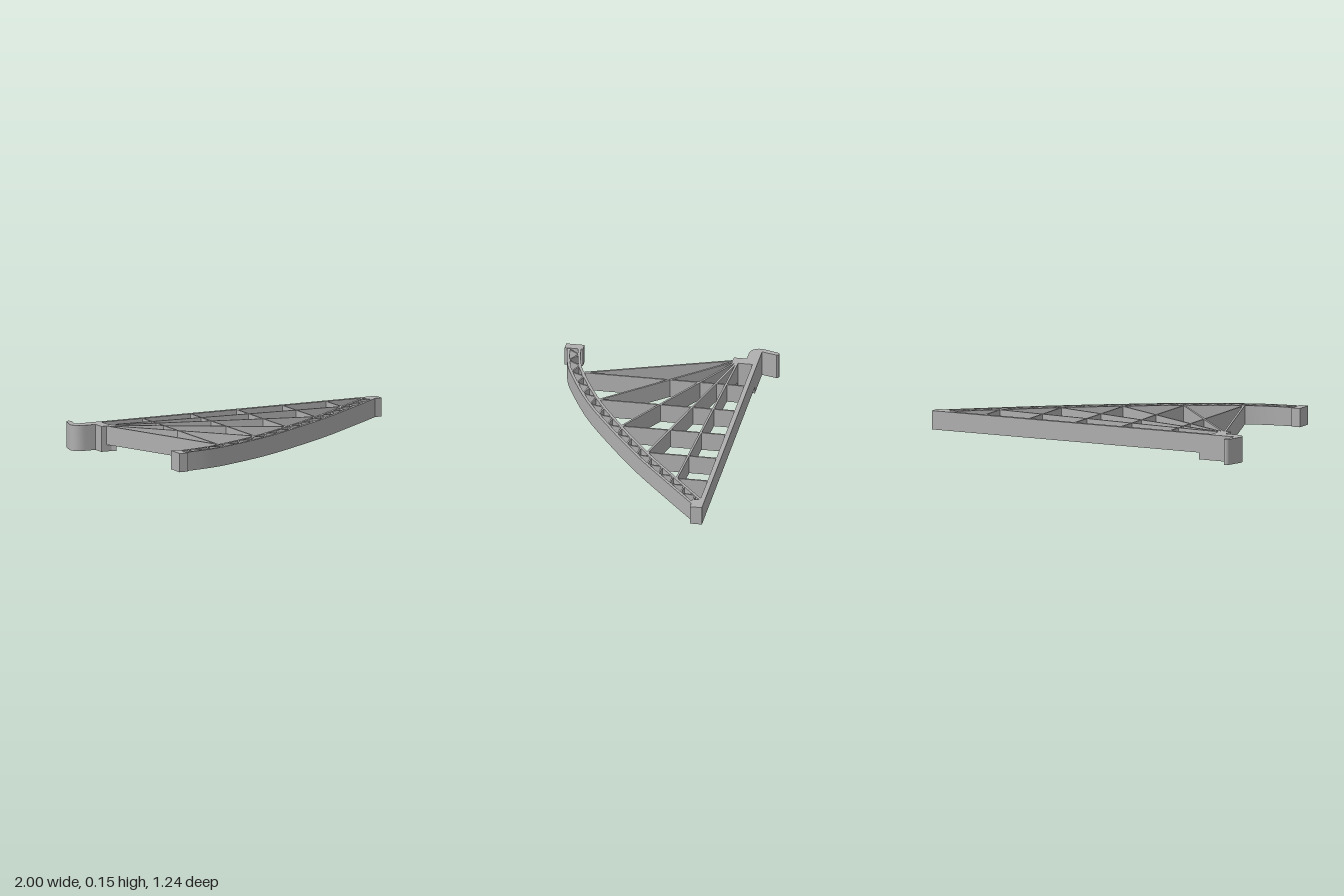
import * as THREE from 'three';
import { toCreasedNormals } from 'three/addons/utils/BufferGeometryUtils.js';

const BOTTOM = 0.04, TOP = 0.15;

export function createModel() {
  const model = new THREE.Group();
  model.name = 'trussBracket';
  const grey = new THREE.MeshStandardMaterial({ color: 0xb0b0b0 });
  grey.name = 'plain grey';

  // Extrude a plan outline (drawn as x, -z) upward between two heights
  function plate(name, shape, y0 = BOTTOM, y1 = TOP, parent = model) {
    let geo = new THREE.ExtrudeGeometry(shape, { depth: y1 - y0, bevelEnabled: false, curveSegments: 10 });
    geo.rotateX(-Math.PI / 2);
    geo.translate(0, y0, 0);
    geo = toCreasedNormals(geo, 0.5);
    const mesh = new THREE.Mesh(geo, grey);
    mesh.name = name;
    parent.add(mesh);
    return mesh;
  }
  const outline = (pts) => new THREE.Shape(pts.map(([x, z]) => new THREE.Vector2(x, -z)));

  function block(name, x0, x1, z0, z1, y0 = BOTTOM, y1 = TOP) {
    const mesh = new THREE.Mesh(new THREE.BoxGeometry(x1 - x0, y1 - y0, z1 - z0), grey);
    mesh.position.set((x0 + x1) / 2, (y0 + y1) / 2, (z0 + z1) / 2);
    mesh.name = name;
    model.add(mesh);
  }

  // Upright web between two plan points
  function web(name, [ax, az], [bx, bz], thick, y0 = BOTTOM, y1 = TOP, parent = model) {
    const dx = bx - ax, dz = bz - az;
    const mesh = new THREE.Mesh(new THREE.BoxGeometry(Math.hypot(dx, dz), y1 - y0, thick), grey);
    mesh.position.set((ax + bx) / 2, (y0 + y1) / 2, (az + bz) / 2);
    mesh.rotation.y = -Math.atan2(dz, dx);
    mesh.name = name;
    parent.add(mesh);
  }

  // Straight back beam with its end blocks
  block('backBeam', -0.9, 1, -0.517, -0.49);
  block('beamEndBlock', 0.905, 1, -0.517, -0.447);
  block('hub', -0.865, -0.8, -0.517, -0.37, 0, TOP);
  block('beamFoot', -0.8, -0.73, -0.517, -0.49, 0, BOTTOM);
  block('archEndBlock', -0.865, -0.812, 0.508, 0.615);

  // Hook with a rounded outer corner and a leaning finger
  const hook = new THREE.Shape();
  hook.moveTo(-0.865, 0.445);
  hook.lineTo(-0.865, 0.517);
  hook.lineTo(-0.963, 0.517);
  hook.lineTo(-0.938, 0.605);
  hook.quadraticCurveTo(-0.943, 0.62, -0.955, 0.62);
  hook.quadraticCurveTo(-0.966, 0.618, -0.97, 0.608);
  hook.lineTo(-0.998, 0.515);
  hook.bezierCurveTo(-1.005, 0.477, -0.975, 0.445, -0.93, 0.445);
  plate('hook', hook, 0, TOP);

  // Curved truss: inner and outer chords
  const arch = new THREE.SplineCurve([
    [-0.815, 0.52], [-0.67, 0.495], [-0.53, 0.45], [-0.217, 0.302],
    [0.083, 0.115], [0.38, -0.09], [0.665, -0.313], [0.9, -0.502],
  ].map((p) => new THREE.Vector2(...p)));
  const DEPTH = 0.079, CHORD = 0.016;
  function archPoint(u, d) {
    const p = arch.getPointAt(u), t = arch.getTangentAt(u);
    return [p.x - t.y * d, p.y + t.x * d];
  }
  function chord(name, d0, d1, extra) {
    const a = [], b = [], n = 48;
    for (let i = 0; i <= n; i++) {
      a.push(archPoint(i / n, d0));
      b.push(archPoint(i / n, d1));
    }
    const t = arch.getTangentAt(1);
    for (const side of [a, b]) {
      const [x, z] = side[n];
      side.push([x + t.x * extra, z + t.y * extra]);
    }
    plate(name, outline([...b, ...a.reverse()]));
  }
  chord('innerChord', 0, CHORD, 0.005);
  chord('outerChord', DEPTH - CHORD, DEPTH, 0.025);

  // Zigzag lacing between the chords
  const lacing = new THREE.Group();
  lacing.name = 'lacing';
  model.add(lacing);
  const bays = 15;
  for (let i = 0; i < bays; i++) {
    const start = archPoint(i / bays, DEPTH - CHORD / 2);
    const mid = archPoint((i + 0.5) / bays, CHORD / 2);
    const end = archPoint((i + 1) / bays, DEPTH - CHORD / 2);
    web('lacingBar', start, mid, 0.009, BOTTOM, TOP, lacing);
    web('lacingBar', mid, end, 0.009, BOTTOM, TOP, lacing);
  }

  // Cross ribs and fan braces meeting at the arch
  const joints = [[-0.53, 0.455], [-0.217, 0.306], [0.083, 0.12], [0.38, -0.085], [0.665, -0.308]];
  joints.forEach(([x, z], i) => {
    web('crossRib', [x, -0.495], [x, z], 0.01);
    const from = [-0.832 + i * 0.006, -0.385 - i * 0.004];
    web('fanBrace', from, [x, z], 0.012);
    // Short root under the shallower braces
    if (i > 1) {
      const s = (-0.77 - from[0]) / (x - from[0]);
      web('braceRoot', from, [-0.77, from[1] + (z - from[1]) * s], 0.012, 0, BOTTOM);
    }
  });
  return model;
}
